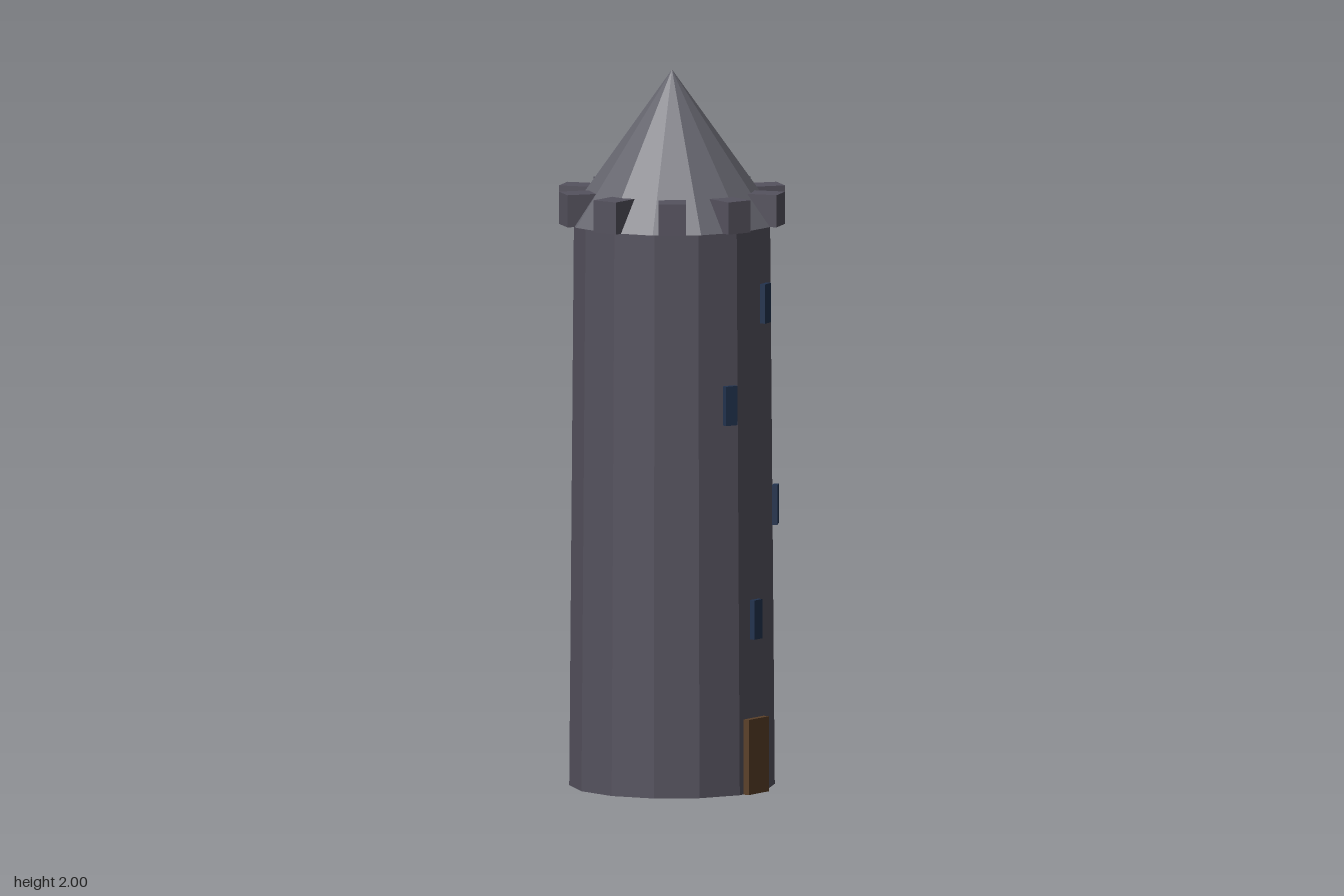
import * as THREE from 'three';

const SIDES = 14;
const WALL_TOP = 1.577;

const paint = (color) => new THREE.MeshStandardMaterial({ color, flatShading: true });

export function createModel() {
  const tower = new THREE.Group();
  tower.name = 'tower';
  const stone = paint(0x55525e);
  const slate = paint(0x65656e);
  const glass = paint(0x22334f);
  const wood = paint(0x5a4029);

  const add = (name, geometry, material) => {
    const mesh = new THREE.Mesh(geometry, material);
    mesh.name = name;
    tower.add(mesh);
    return mesh;
  };

  // Box standing at a distance from the axis, turned to face outwards
  const addAround = (name, size, material, angle, radius, y) => {
    const mesh = add(name, new THREE.BoxGeometry(...size), material);
    mesh.position.set(radius * Math.sin(angle), y, radius * Math.cos(angle));
    mesh.rotation.y = angle;
    return mesh;
  };

  // Slightly tapered wall, with a corner on each side and a flat at the front
  const wall = add('wall', new THREE.CylinderGeometry(0.272, 0.285, WALL_TOP, SIDES), stone);
  wall.position.y = WALL_TOP / 2;
  wall.rotation.y = Math.PI / 2;

  // Overhanging pointed roof
  const roofHeight = 2 - WALL_TOP;
  const roof = add('roof', new THREE.ConeGeometry(0.302, roofHeight, SIDES), slate);
  roof.position.y = WALL_TOP + roofHeight / 2;
  roof.rotation.y = Math.PI / 2;

  // Ring of battlements
  for (let i = 0; i < 10; i++) {
    const angle = Math.PI / 2 + (i / 10) * Math.PI * 2;
    addAround('battlement', [0.076, 0.09, 0.09], stone, angle, 0.272, 1.622);
  }

  // Narrow windows: angle in degrees, height
  for (const [degrees, y] of [[0, 0.486], [30, 0.788], [-20, 1.093], [10, 1.364]]) {
    addAround('window', [0.038, 0.11, 0.015], glass, THREE.MathUtils.degToRad(degrees), 0.288, y);
  }

  // Front door
  addAround('door', [0.095, 0.21, 0.018], wood, 0, 0.288, 0.105);

  return tower;
}
